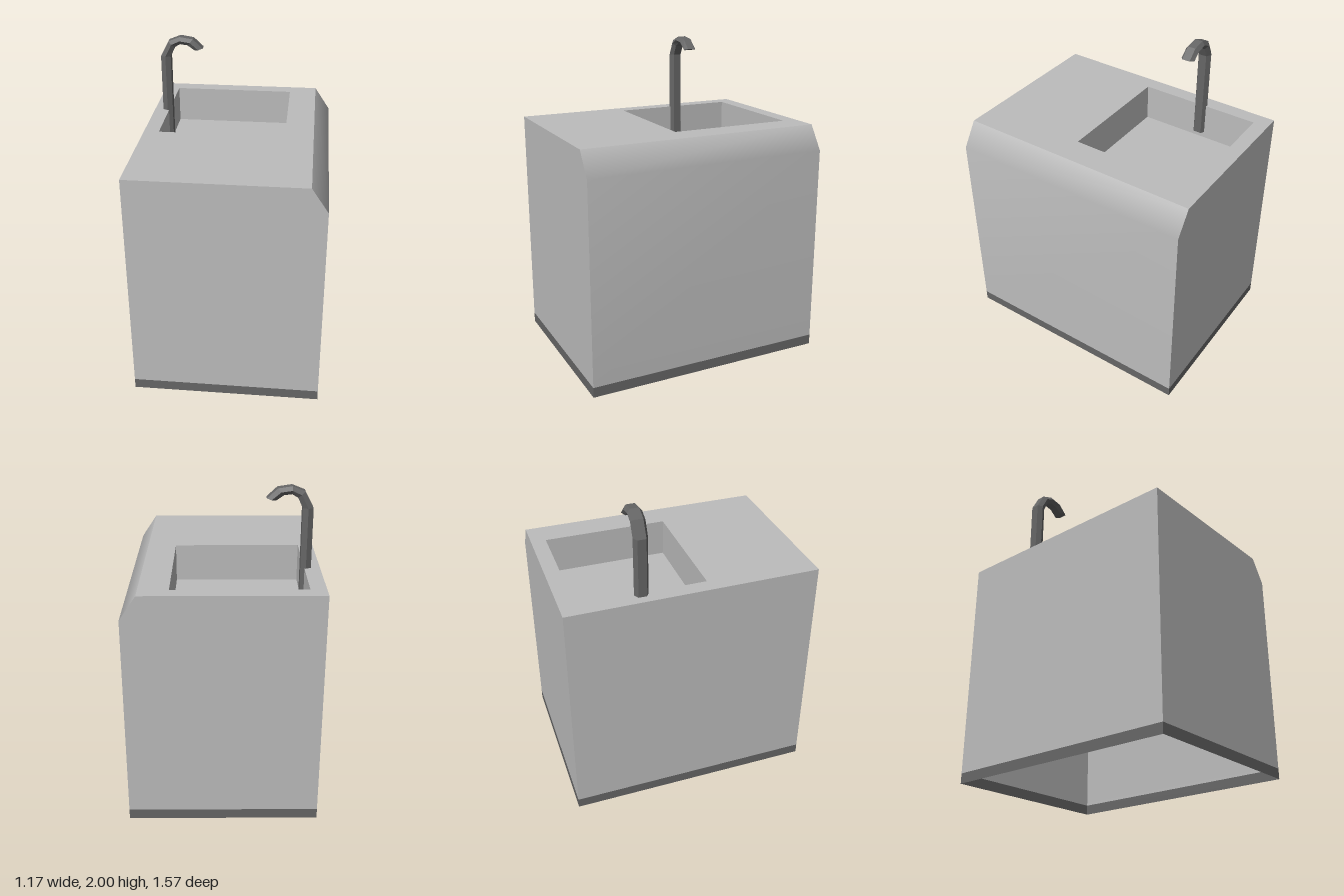
import * as THREE from 'three';

const W = 0.585, D = 0.785;            // half width and half depth
const BASE = 0.065, TOP = 1.5;         // plinth height and worktop height
const CX = 0.485, CY = 1.35;           // bevel start on the top and end on the side
const BASIN = { x0: -0.49, x1: 0.305, z0: -0.69, z1: 0.1, y: 1.26 };

const cabinetGrey = new THREE.MeshStandardMaterial({ color: 0xbcbcbc, side: THREE.DoubleSide });
cabinetGrey.name = 'cabinetGrey';
const darkMetal = new THREE.MeshStandardMaterial({ color: 0x666666, side: THREE.DoubleSide });
darkMetal.name = 'darkMetal';

function part(parent, name, geometry, material) {
  const mesh = new THREE.Mesh(geometry, material);
  mesh.name = name;
  parent.add(mesh);
  return mesh;
}

function indexed(points, index) {
  const g = new THREE.BufferGeometry();
  g.setAttribute('position', new THREE.Float32BufferAttribute(points.flat(), 3));
  g.setIndex(index);
  return g;
}

function faceted(geometry) {
  const g = geometry.toNonIndexed();
  g.computeVertexNormals();
  return g;
}

// Four upright walls without top or bottom
function wallRing(x0, x1, z0, z1, y0, y1) {
  const g = new THREE.CylinderGeometry(Math.SQRT1_2, Math.SQRT1_2, y1 - y0, 4, 1, true, Math.PI / 4);
  g.scale(x1 - x0, 1, z1 - z0);
  g.translate((x0 + x1) / 2, (y0 + y1) / 2, (z0 + z1) / 2);
  return faceted(g);
}

// Bevelled end panel outline; s = -1 mirrors it for the back
function endPanel(s) {
  const outline = [[-W, BASE], [W, BASE], [W, CY], [CX, TOP], [-W, TOP]];
  return new THREE.ShapeGeometry(new THREE.Shape(outline.map(([x, y]) => new THREE.Vector2(s * x, y))));
}

function rect(Type, x0, x1, z0, z1) {
  return new Type([[x0, -z1], [x1, -z1], [x1, -z0], [x0, -z0]].map(([x, y]) => new THREE.Vector2(x, y)));
}

// Hexagonal spout lofted through pairs of outer and inner points
function faucetGeometry() {
  const sections = [
    [-0.53, 1.3, -0.466, 1.3],
    [-0.53, 1.87, -0.466, 1.87],
    [-0.478, 1.97, -0.437, 1.932],
    [-0.403, 2.0, -0.402, 1.953],
    [-0.318, 1.987, -0.354, 1.947],
    [-0.255, 1.928, -0.309, 1.915],
  ];
  const z = -0.306, flat = 0.026, wide = 0.044, n = 6;
  const points = [], index = [];
  for (const [ox, oy, ix, iy] of sections) {
    const mx = (ox + ix) / 2, my = (oy + iy) / 2;
    points.push([ox, oy, z + flat], [mx, my, z + wide], [ix, iy, z + flat],
      [ix, iy, z - flat], [mx, my, z - wide], [ox, oy, z - flat]);
  }
  for (let i = 0; i < sections.length - 1; i++) {
    for (let j = 0; j < n; j++) {
      const a = i * n + j, b = i * n + (j + 1) % n;
      index.push(a, b, b + n, a, b + n, a + n);
    }
  }
  const last = (sections.length - 1) * n;
  for (let k = 1; k < n - 1; k++) {
    index.push(0, k + 1, k, last, last + k, last + k + 1);
  }
  return faceted(indexed(points, index));
}

export function createModel() {
  const model = new THREE.Group();
  model.name = 'sinkCabinet';

  // Plinth
  part(model, 'plinth', wallRing(-W, W, -D, D, 0, BASE), darkMetal);

  // Hollow cabinet, open underneath
  const cabinet = new THREE.Group();
  cabinet.name = 'cabinet';
  model.add(cabinet);
  part(cabinet, 'frontPanel', endPanel(1), cabinetGrey).position.z = D;
  const back = part(cabinet, 'backPanel', endPanel(-1), cabinetGrey);
  back.rotation.y = Math.PI;
  back.position.z = -D;
  const right = part(cabinet, 'rightPanel', new THREE.PlaneGeometry(2 * D, TOP - BASE), cabinetGrey);
  right.rotation.y = -Math.PI / 2;
  right.position.set(-W, (TOP + BASE) / 2, 0);

  // Left panel running smoothly into the bevel
  const rows = [[W, BASE], [W, CY], [CX, TOP]];
  const left = indexed(rows.flatMap(([x, y]) => [[x, y, D], [x, y, -D]]),
    [0, 1, 3, 0, 3, 2, 2, 3, 5, 2, 5, 4]);
  left.computeVertexNormals();
  part(cabinet, 'leftPanelWithBevel', left, cabinetGrey);

  // Worktop with the basin cut out
  const { x0, x1, z0, z1, y } = BASIN;
  const topShape = rect(THREE.Shape, -W, CX, -D, D);
  topShape.holes.push(rect(THREE.Path, x0, x1, z0, z1));
  const top = part(cabinet, 'worktop', new THREE.ShapeGeometry(topShape), cabinetGrey);
  top.rotation.x = -Math.PI / 2;
  top.position.y = TOP;

  // Basin
  const basin = new THREE.Group();
  basin.name = 'basin';
  model.add(basin);
  part(basin, 'basinWalls', wallRing(x0, x1, z0, z1, y, TOP), cabinetGrey);
  const floor = part(basin, 'basinFloor', new THREE.ShapeGeometry(rect(THREE.Shape, x0, x1, z0, z1)), cabinetGrey);
  floor.rotation.x = -Math.PI / 2;
  floor.position.y = y;

  // Faucet
  part(model, 'faucet', faucetGeometry(), darkMetal);

  return model;
}
